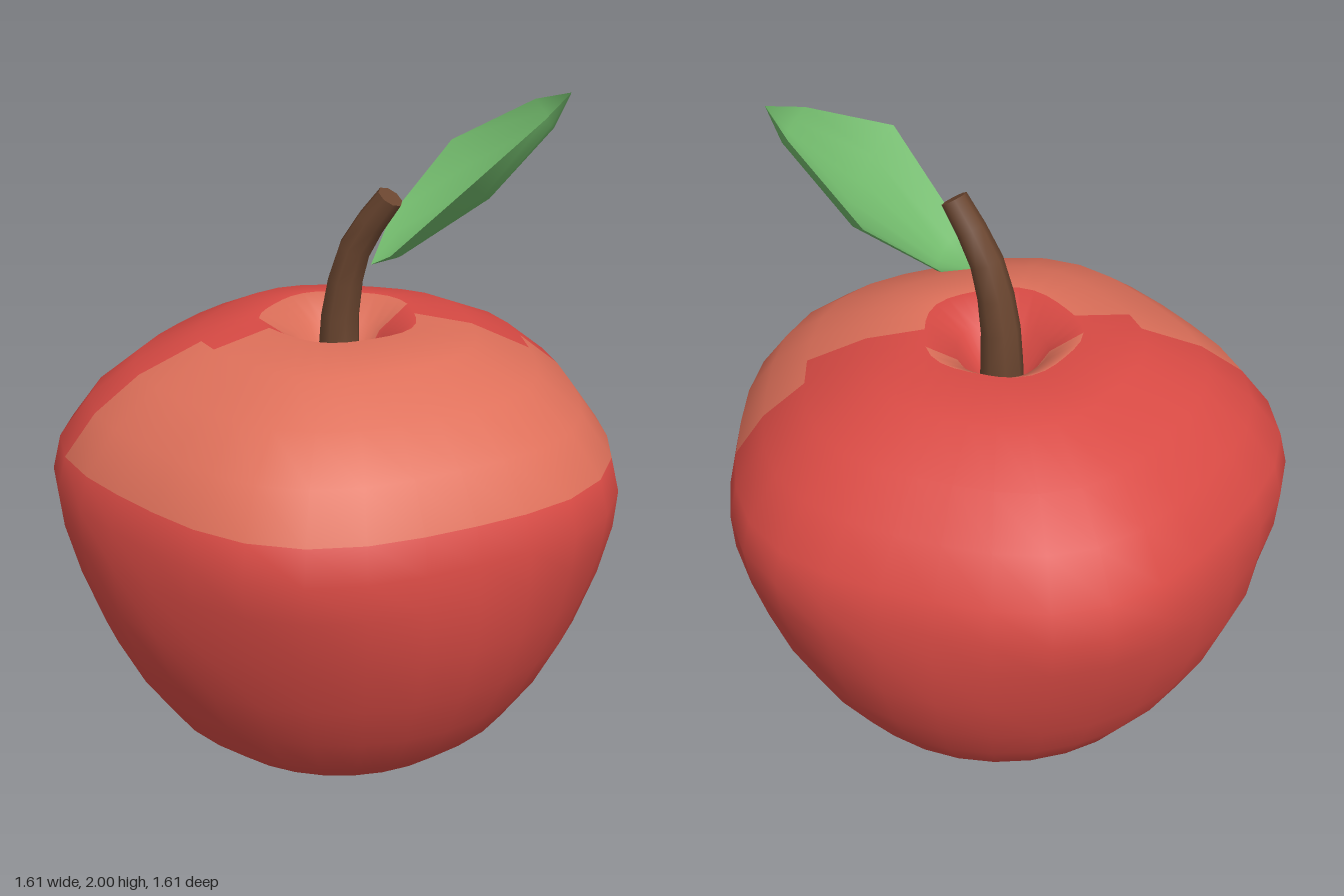
import * as THREE from 'three';
import { mergeVertices } from 'three/addons/utils/BufferGeometryUtils.js';

const CX = -0.02; // centre line of fruit and stem
const SIDES = 32;

function indexed(positions, index) {
  const g = new THREE.BufferGeometry();
  g.setAttribute('position', new THREE.Float32BufferAttribute(positions, 3));
  g.setIndex(index);
  return g;
}

// Fruit: a turned profile with five soft lobes on the upper half
function bodyGeometry() {
  const profile = [
    [0, 0.07], [0.1, 0.05], [0.17, 0], [0.305, 0.045], [0.43, 0.115], [0.54, 0.21],
    [0.635, 0.35], [0.71, 0.5], [0.77, 0.67], [0.798, 0.82], [0.802, 0.93], [0.778, 1.03],
    [0.69, 1.15], [0.565, 1.25], [0.39, 1.33], [0.22, 1.365], [0.13, 1.3], [0.07, 1.2], [0, 1.17],
  ];
  const pos = [];
  for (const [r, y] of profile) {
    const lobe = 0.031 * THREE.MathUtils.smoothstep(y, 0.67, 0.93);
    for (let j = 0; j < SIDES; j++) {
      const a = (j / SIDES) * Math.PI * 2;
      const rr = r * (1 + lobe * Math.cos(5 * a));
      pos.push(CX + rr * Math.cos(a), y, rr * Math.sin(a));
    }
  }
  // Range of blushed faces in each ring: [first, end) around the fruit
  const blush = {
    11: [-4, 12], 12: [-4, 12], 13: [-3, 12], 14: [-3, 11],
    15: [13, 27], 16: [13, 27], 17: [13, 27],
  };
  const skin = [], patch = [];
  for (let i = 0; i < profile.length - 1; i++) {
    for (let j = 0; j < SIDES; j++) {
      const k = (j + 1) % SIDES;
      const a = i * SIDES + j, b = a + SIDES, c = (i + 1) * SIDES + k, d = i * SIDES + k;
      const range = blush[i];
      const inside = range && [j, j - SIDES].some((n) => n >= range[0] && n < range[1]);
      const list = inside ? patch : skin;
      if (profile[i + 1][0] > 0) list.push(a, b, c);
      if (profile[i][0] > 0) list.push(a, c, d);
    }
  }
  let g = indexed(pos, [...skin, ...patch]);
  g.addGroup(0, skin.length, 0);
  g.addGroup(skin.length, patch.length, 1);
  g = mergeVertices(g);
  g.computeVertexNormals();
  return g;
}

// Stem: a tapered cylinder bent along a curve in the x-y plane
function stemGeometry() {
  const curve = new THREE.CatmullRomCurve3([
    new THREE.Vector3(CX, 1.15, 0), new THREE.Vector3(-0.017, 1.37, 0),
    new THREE.Vector3(0.03, 1.57, 0), new THREE.Vector3(0.138, 1.73, 0),
  ]);
  const g = new THREE.CylinderGeometry(0.038, 0.065, 1, 8, 6);
  const p = g.attributes.position, n = g.attributes.normal;
  for (let i = 0; i < p.count; i++) {
    const t = THREE.MathUtils.clamp(p.getY(i) + 0.5, 0, 1);
    const c = curve.getPoint(t), d = curve.getTangent(t);
    const x = p.getX(i), nx = n.getX(i), ny = n.getY(i);
    p.setXYZ(i, c.x + x * d.y, c.y - x * d.x, p.getZ(i));
    n.setXYZ(i, nx * d.y + ny * d.x, -nx * d.x + ny * d.y, n.getZ(i));
  }
  return g;
}

// Leaf: cross-sections from base to tip, each sagging below its two edges
function leafGeometry() {
  const rows = [
    { l: [0.08, 1.53, 0], r: [0.08, 1.53, 0], sag: 0 },
    { l: [0.05, 1.62, -0.175], r: [0.18, 1.59, 0.08], sag: 0.055 },
    { l: [0.145, 1.81, -0.37], r: [0.42, 1.82, 0.1], sag: 0.12 },
    { l: [0.41, 1.96, -0.335], r: [0.515, 1.95, -0.15], sag: 0.06 },
    { l: [0.535, 2, -0.28], r: [0.535, 2, -0.28], sag: 0 },
  ];
  const down = new THREE.Vector3(0.58, -0.75, -0.31);
  const N = 6, pos = [], index = [];
  rows.forEach(({ l, r, sag }, i) => {
    const a = new THREE.Vector3(...l), b = new THREE.Vector3(...r);
    for (let j = 0; j <= N; j++) {
      const s = (2 * j) / N - 1;
      const v = a.clone().lerp(b, j / N).addScaledVector(down, sag * (1 - s * s));
      pos.push(v.x, v.y, v.z);
      if (i < rows.length - 1 && j < N) {
        const q = i * (N + 1) + j, u = q + N + 1;
        if (i > 0) index.push(q, q + 1, u + 1);
        if (i < rows.length - 2) index.push(q, u + 1, u);
        else index.push(q, q + 1, u);
      }
    }
  });
  const g = mergeVertices(indexed(pos, index));
  g.computeVertexNormals();
  return g;
}

export function createModel() {
  const material = (name, color, side = THREE.FrontSide) => {
    const m = new THREE.MeshStandardMaterial({ color, side });
    m.name = name;
    return m;
  };
  const red = material('red skin', 0xd84a44);
  const blush = material('light blush', 0xde705a);
  const brown = material('brown stem', 0x6b4630);
  const green = material('green leaf', 0x72ba6c, THREE.DoubleSide);

  const model = new THREE.Group();
  model.name = 'apple';
  const add = (name, geometry, mat) => {
    const mesh = new THREE.Mesh(geometry, mat);
    mesh.name = name;
    model.add(mesh);
  };
  add('fruit', bodyGeometry(), [red, blush]);
  add('stem', stemGeometry(), brown);
  add('leaf', leafGeometry(), green);
  return model;
}
